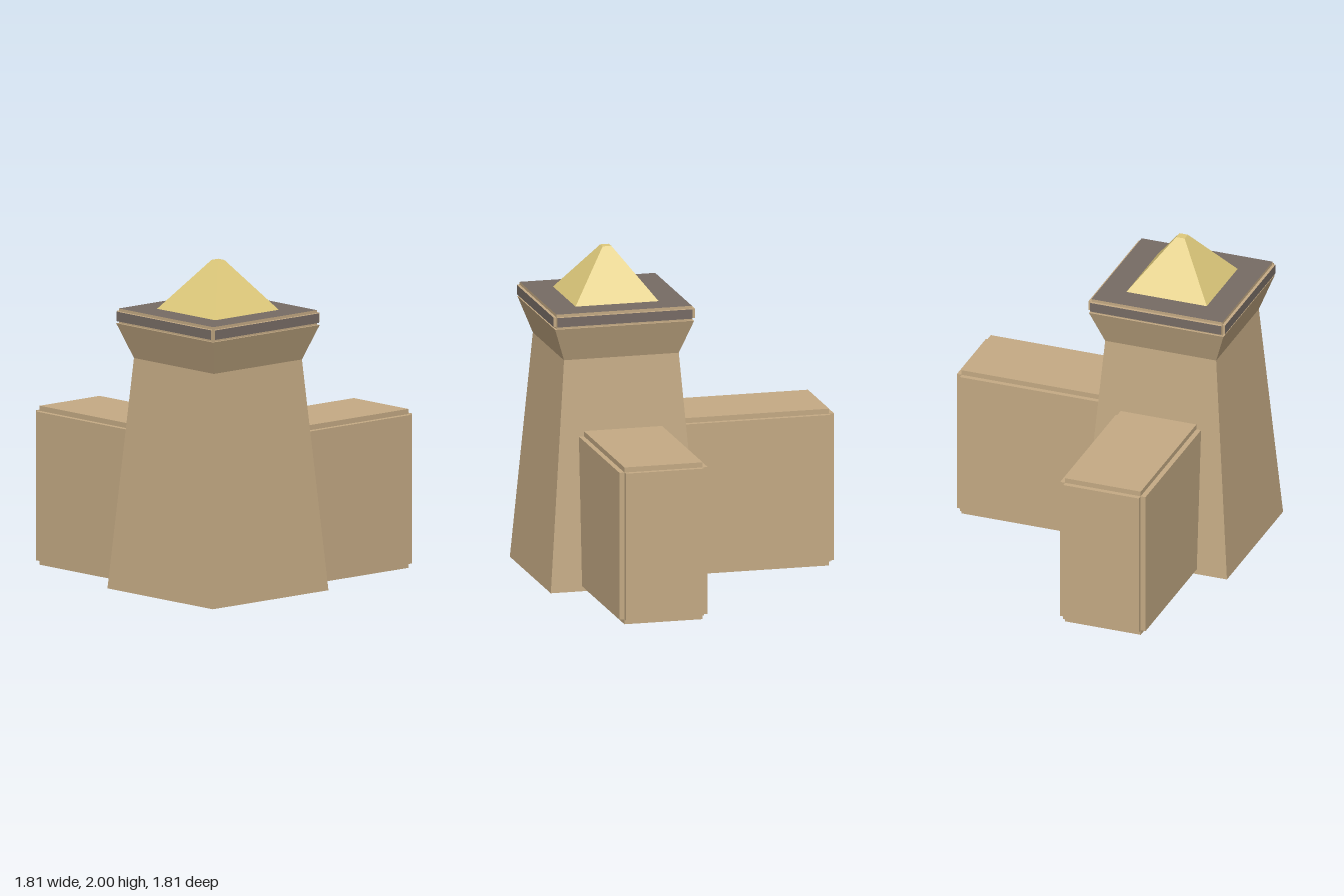
import * as THREE from 'three';

const sand = new THREE.MeshStandardMaterial({ color: 0xc4aa84, flatShading: true });
sand.name = 'sandstone';
const slate = new THREE.MeshStandardMaterial({ color: 0x766b64, flatShading: true });
slate.name = 'slate';
const gold = new THREE.MeshStandardMaterial({ color: 0xdec97b, flatShading: true });
gold.name = 'gold';

// Square frustum standing on y0, given by its half widths
function frustum(name, y0, y1, half0, half1, material) {
  const geometry = new THREE.CylinderGeometry(half1 * Math.SQRT2, half0 * Math.SQRT2, y1 - y0, 4);
  geometry.rotateY(Math.PI / 4);
  geometry.translate(0, (y0 + y1) / 2, 0);
  const mesh = new THREE.Mesh(geometry, material);
  mesh.name = name;
  return mesh;
}

// Block with stepped edges: three crossed boxes, each reaching full size along one axis.
// The outer faces take faceMaterial, the step faces take stepMaterial.
function steppedBlock(name, min, max, inset, faceMaterial, stepMaterial) {
  const group = new THREE.Group();
  group.name = name;
  for (let axis = 0; axis < 3; axis++) {
    const size = [0, 1, 2].map(i => max[i] - min[i] - (i === axis ? 0 : 2 * inset[i]));
    const materials = Array.from({ length: 6 }, (_, f) =>
      Math.floor(f / 2) === axis ? faceMaterial : stepMaterial);
    const mesh = new THREE.Mesh(new THREE.BoxGeometry(...size), materials);
    mesh.position.set(...[0, 1, 2].map(i => (min[i] + max[i]) / 2));
    mesh.name = name + 'Core' + 'XYZ'[axis];
    group.add(mesh);
  }
  return group;
}

export function createModel() {
  const model = new THREE.Group();
  model.name = 'cornerTower';

  // Tapered tower with flared head, cap slab and pyramid
  const tower = new THREE.Group();
  tower.name = 'tower';
  tower.position.set(-0.44, 0, 0.44);
  tower.add(
    frustum('towerShaft', 0, 1.4, 0.467, 0.355, sand),
    frustum('flaredHead', 1.4, 1.61, 0.355, 0.43, sand),
    steppedBlock('capSlab', [-0.437, 1.608, -0.437], [0.437, 1.7, 0.437], [0.018, 0.017, 0.018], slate, sand),
    frustum('pyramid', 1.7, 2, 0.257, 0.027, gold)
  );
  model.add(tower);

  // Two wall stubs leaving the tower at right angles
  const inset = [0.031, 0.031, 0.031];
  model.add(
    steppedBlock('leftWall', [-0.4, 0, 0.167], [0.907, 0.965, 0.713], inset, sand, sand),
    steppedBlock('backWall', [-0.713, 0, -0.907], [-0.167, 0.965, 0.4], inset, sand, sand)
  );
  return model;
}
